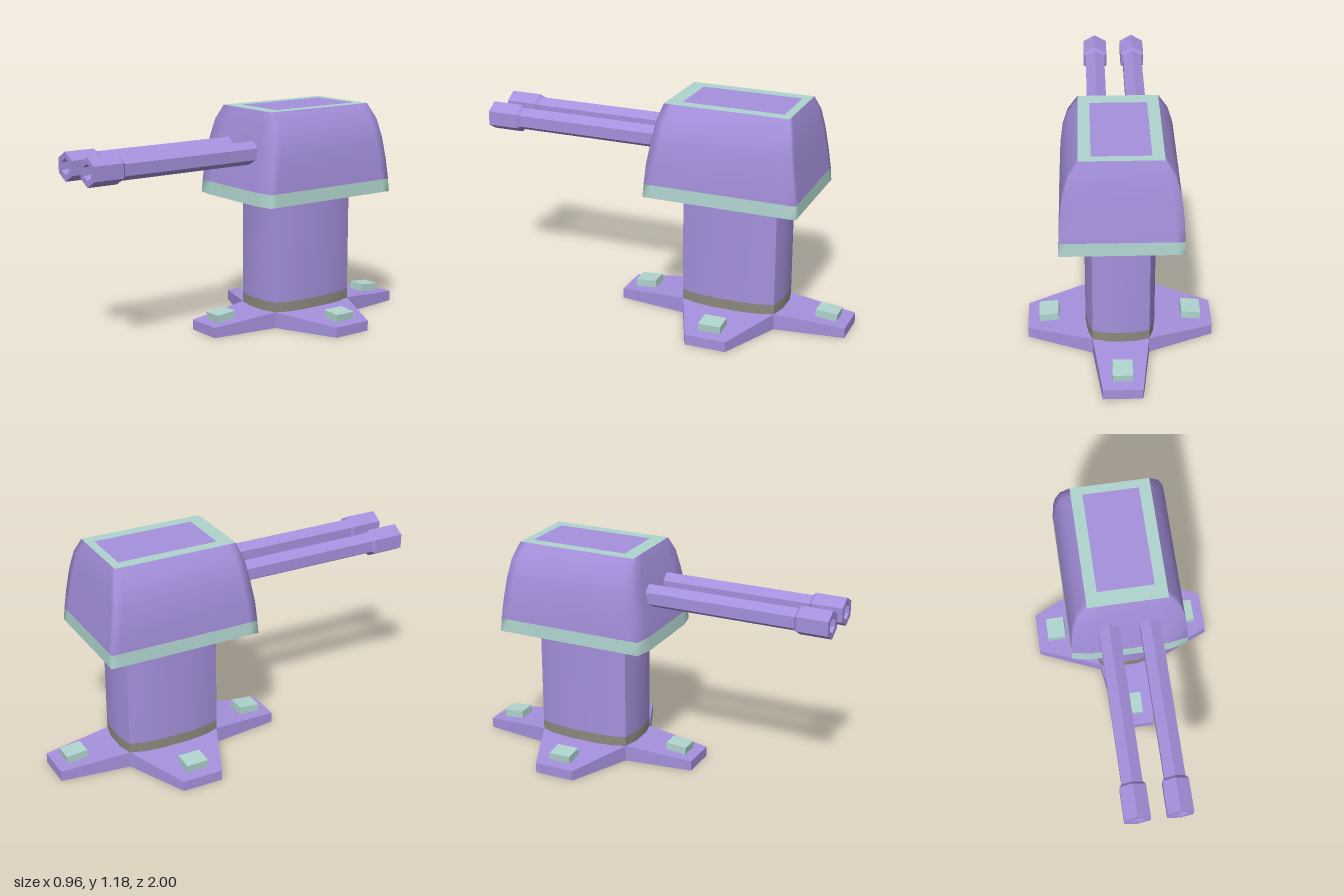
import * as THREE from 'three';
import { toCreasedNormals } from 'three/addons/utils/BufferGeometryUtils.js';
import { ConvexGeometry } from 'three/addons/geometries/ConvexGeometry.js';

const CZ = -0.375; // z of the column's axis
const mat = (color, flatShading = false) => new THREE.MeshStandardMaterial({ color, flatShading });
const purple = mat(0xa590dc), purpleFlat = mat(0xa590dc, true);
const teal = mat(0xb0d4ce), tealFlat = mat(0xb0d4ce, true);
const olive = mat(0x8c897e);

// Skin between closed rings of [x, y, z], counterclockwise seen from above
function loft(rings) {
  const n = rings[0].length, index = [];
  for (let i = 0; i < rings.length - 1; i++) {
    for (let j = 0; j < n; j++) {
      const a = i * n + j, b = i * n + (j + 1) % n;
      index.push(a, b, b + n, a, b + n, a + n);
    }
  }
  const geo = new THREE.BufferGeometry();
  geo.setAttribute('position', new THREE.Float32BufferAttribute(rings.flat(2), 3));
  geo.setIndex(index);
  geo.computeVertexNormals();
  return geo;
}

// Flat lid over one ring
function cap(ring, up = true) {
  const geo = new THREE.BufferGeometry(), index = [];
  for (let j = 1; j < ring.length - 1; j++) index.push(0, up ? j : j + 1, up ? j + 1 : j);
  geo.setAttribute('position', new THREE.Float32BufferAttribute(ring.flat(), 3));
  geo.setIndex(index);
  geo.computeVertexNormals();
  return geo;
}

// Head section: tight loops at the corners, slightly bowed front
function headRing([y, hx, zf, zb]) {
  const bow = 0.02 * (1.18 - y) / 0.48, e = 0.045;
  const half = [[hx - 0.1, zf], [hx, zf - bow], [hx, zf - bow - e], [hx, zb + e], [hx, zb], [hx - e, zb]];
  return [
    ...half.map(([x, z]) => [x, y, z]),
    ...half.slice().reverse().map(([x, z]) => [-x, y, z]),
  ];
}

// Column section: four sharp corners joined by shallow arcs
function columnRing(y, s = 1) {
  const q = [[0.06, 0.275], [0.145, 0.255], [0.168, 0.18], [0.18, 0.08]];
  const right = [...q, ...q.slice().reverse().map(([x, z]) => [x, -z])];
  const all = [...right, ...right.slice().reverse().map(([x, z]) => [-x, z])];
  return all.map(([x, z]) => [x * s, y, CZ + z * s]);
}

const rectRing = (y, hx, zf, zb) => [[hx, y, zf], [hx, y, zb], [-hx, y, zb], [-hx, y, zf]];

export function createModel() {
  const model = new THREE.Group();
  const add = (name, geo, material, parent = model) => {
    const mesh = new THREE.Mesh(geo, material);
    mesh.name = name;
    parent.add(mesh);
    return mesh;
  };

  // Base: a centre block with four tapering feet and their tilted pads
  const base = new THREE.Group();
  base.name = 'base';
  model.add(base);
  add('baseCentre', new THREE.BoxGeometry(0.29, 0.085, 0.51), olive, base).position.set(0, 0.0425, CZ);
  const feet = [
    // inner distance, inner half width, outer distance, outer half width, pad distance, pad size
    [0.255, 0.145, 0.625, 0.10, 0.51, 0.10, 0.115],
    [0.145, 0.255, 0.48, 0.11, 0.37, 0.12, 0.10],
  ];
  for (let i = 0; i < 4; i++) {
    const [d0, w0, d1, w1, padD, padW, padL] = feet[i % 2];
    const foot = new THREE.Group();
    foot.name = 'foot';
    foot.position.z = CZ;
    foot.rotation.y = i * Math.PI / 2;
    base.add(foot);
    const points = [];
    for (const s of [-1, 1]) {
      for (const [w, d, h] of [[w0, d0, 0.087], [w1, d1, 0.055]]) {
        points.push(new THREE.Vector3(s * w, 0, d), new THREE.Vector3(s * w, h, d));
      }
    }
    add('footPlate', new ConvexGeometry(points), purpleFlat, foot);
    const pad = add('footPad', new THREE.BoxGeometry(padW, 0.045, padL), tealFlat, foot);
    pad.position.set(0, 0.083, padD);
    pad.rotation.x = 0.09;
  }

  // Column with a dark band at its foot
  add('columnBand', toCreasedNormals(loft([columnRing(0.085), columnRing(0.14)]), 0.6), olive);
  add('column', toCreasedNormals(loft([columnRing(0.14), columnRing(0.672)]), 0.6), purple);
  add('columnTop', cap(columnRing(0.672)), purple);

  // Head: [height, half width, front z, back z]
  const head = new THREE.Group();
  head.name = 'head';
  model.add(head);
  const rings = [
    [0.70, 0.307, 0.06, -0.78],
    [0.77, 0.303, 0.052, -0.775],
    [0.88, 0.298, 0.035, -0.76],
    [1.00, 0.284, 0.008, -0.742],
    [1.10, 0.255, -0.012, -0.725],
    [1.18, 0.205, -0.037, -0.70],
  ].map(headRing);
  add('headSkirt', loft(rings.slice(0, 2)), teal, head);
  add('headShell', loft(rings.slice(1)), purple, head);
  add('headUnderside', cap(rings[0], false), purple, head);
  add('headSocket', cap(columnRing(0.698, 1.15), false), olive, head);
  add('roofFrame', loft([rectRing(1.18, 0.205, -0.037, -0.70), rectRing(1.18, 0.145, -0.115, -0.655)]), teal, head);
  add('roofPanel', cap(rectRing(1.18, 0.145, -0.115, -0.655)), purple, head);

  // Twin six-sided barrels with hollow muzzles
  const profile = [
    [0.06, -0.06], [0.06, 0.82], [0.075, 0.835], [0.075, 1], [0.042, 1], [0.036, 0.93], [0, 0.92],
  ].map(([r, z]) => new THREE.Vector2(r, z));
  for (const side of [-1, 1]) {
    const barrel = add(side > 0 ? 'leftBarrel' : 'rightBarrel', new THREE.LatheGeometry(profile, 6), purpleFlat);
    barrel.rotation.x = Math.PI / 2;
    barrel.position.set(side * 0.105, 0.962, 0);
  }
  return model;
}
